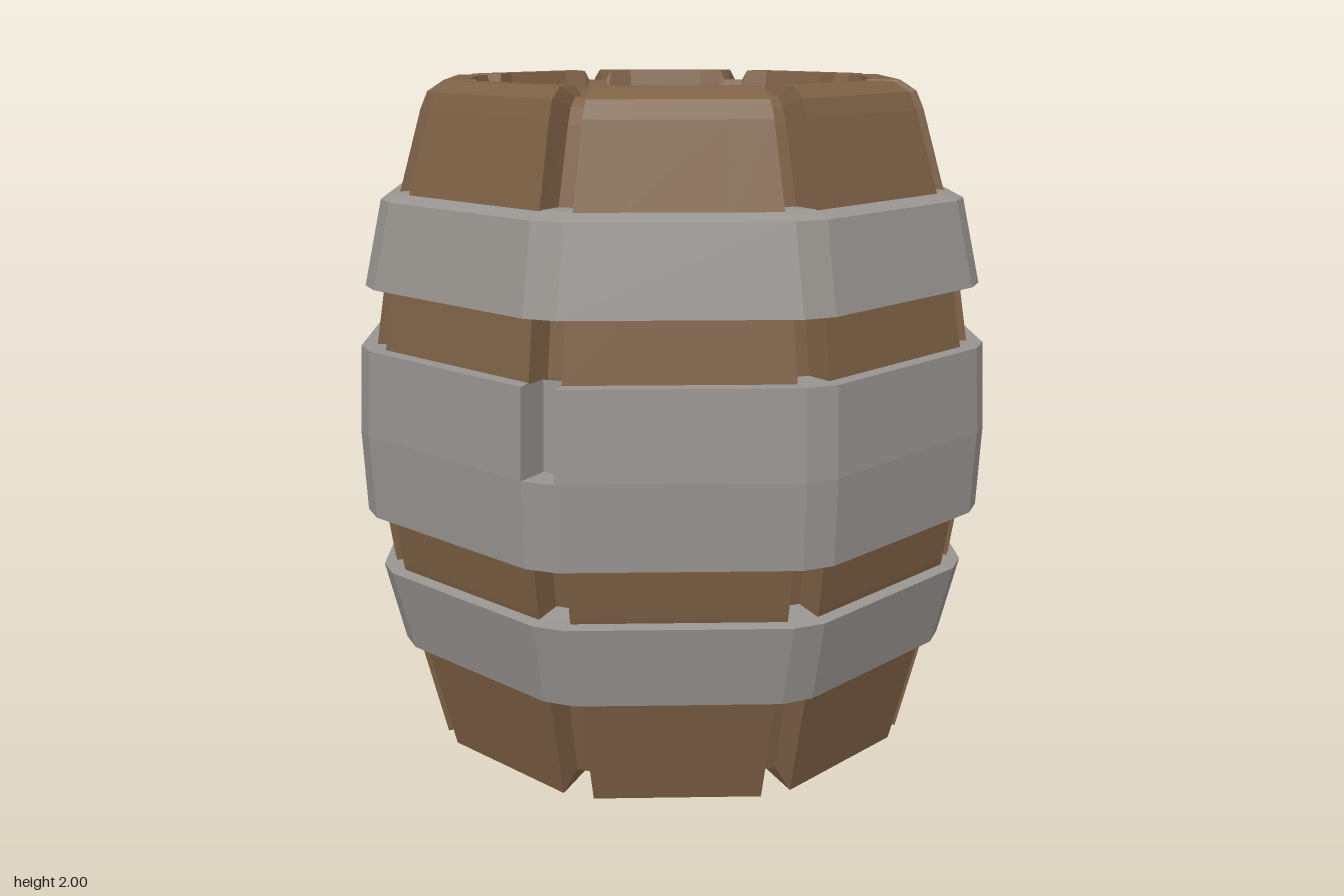
import * as THREE from 'three';

const wood = new THREE.MeshStandardMaterial({ color: 0x7d6045, flatShading: true });
wood.name = 'wood brown';
const iron = new THREE.MeshStandardMaterial({ color: 0x989490, flatShading: true });
iron.name = 'iron grey';

const SIDES = 8;
const EDGE = 0.047;  // half gap between staves at the surface
const FLOOR = 0.03;  // half width of the groove floor

// Point near octagon corner k: radius r out along it, shifted sideways by off
function at(k, r, off, y) {
  const a = (k * Math.PI * 2) / SIDES;
  return new THREE.Vector3(r * Math.sin(a) + off * Math.cos(a), y, r * Math.cos(a) - off * Math.sin(a));
}

// Surface through rows of points, listed along the outward-facing profile
function loft(rows, { closed = false, skip = () => false } = {}) {
  const pts = [];
  for (let i = 0; i < rows.length - 1; i++) {
    const n = rows[i].length;
    for (let j = 0; j < (closed ? n : n - 1); j++) {
      if (skip(i, j)) continue;
      const a = rows[i][j], b = rows[i][(j + 1) % n];
      const c = rows[i + 1][(j + 1) % n], d = rows[i + 1][j];
      for (const t of [[a, b, c], [a, c, d]]) {
        if (new THREE.Triangle(...t).getArea() > 1e-7) pts.push(...t);
      }
    }
  }
  const geo = new THREE.BufferGeometry().setFromPoints(pts);
  geo.computeVertexNormals();
  return geo;
}

// Octagonal ring with flattened corners of half width w
function ringRow(r, y, w) {
  const row = [];
  for (let k = 0; k < SIDES; k++) row.push(at(k, r, -w, y), at(k, r, w, y));
  return row;
}

// Stave profile: surface radius, height, groove radius, groove height, lid half side
const PROFILE = [
  [0.1135, 0, 0.0724, 0.05],
  [0.74, 0, 0.68, 0.05],
  [0.82, 0.32, 0.74, 0.32],
  [0.885, 0.6, 0.805, 0.6],
  [0.915, 0.8, 0.835, 0.8],
  [0.925, 1, 0.845, 1],
  [0.912, 1.25, 0.832, 1.25],
  [0.885, 1.42, 0.805, 1.42],
  [0.83, 1.68, 0.75, 1.68],
  [0.76, 1.92, 0.68, 1.9],
  [0.738, 1.97, 0.66, 1.945],
  [0.69, 2, 0.63, 1.97],
  [0.59, 2, 0.59, 1.97, 0.117],
  [0.575, 1.94, 0.575, 1.94, 0.114],
];

function staveGeometry(k) {
  return loft(PROFILE.map(([r, y, ri, yi, lid]) => {
    const left = at(k, r, EDGE, y), right = at(k + 1, r, -EDGE, y);
    // rim rows follow the sixteen-sided lid
    const m1 = lid ? at(k, r, lid, y) : left.clone().lerp(right, 0.25);
    const m2 = lid ? at(k + 1, r, -lid, y) : left.clone().lerp(right, 0.75);
    return [at(k, ri, FLOOR, yi), left, m1, m2, right, at(k + 1, ri, -FLOOR, yi)];
  }));
}

// Core: groove floors, underside and recessed lid
function coreGeometry() {
  const rows = PROFILE.map(([, , ri, yi, lid]) => ringRow(ri, yi, lid ?? FLOOR));
  rows[0] = ringRow(0, 0.05, 0);
  rows.push(ringRow(0, 1.94, 0));
  return loft(rows, { closed: true });
}

// Hoop from a profile running inner bottom, outside, inner top
function hoopGeometry(profile, skip) {
  return loft(profile.map(([r, y]) => ringRow(r, y, EDGE)), { closed: true, skip });
}

export function createModel() {
  const model = new THREE.Group();
  model.name = 'barrel';
  const add = (name, geo, mat) => {
    const mesh = new THREE.Mesh(geo, mat);
    mesh.name = name;
    model.add(mesh);
  };

  add('core', coreGeometry(), wood);
  for (let k = 0; k < SIDES; k++) add(`stave${k + 1}`, staveGeometry(k), wood);

  add('upperHoop', hoopGeometry([[0.79, 1.42], [0.94, 1.425], [0.885, 1.67], [0.82, 1.69], [0.74, 1.69]]), iron);
  add('lowerHoop', hoopGeometry([[0.73, 0.32], [0.82, 0.32], [0.86, 0.335], [0.92, 0.578], [0.87, 0.585], [0.79, 0.6]]), iron);

  // Middle hoop, open at the upper half of the front corner
  add('middleHoop', hoopGeometry(
    [[0.82, 0.755], [0.96, 0.755], [0.972, 1], [0.96, 1.25], [0.82, 1.25]],
    (i, j) => j === 0 && i >= 2), iron);

  // Notch lining: ledge, side walls and floor
  const notchRow = (r, ri, y) => [at(0, r, -EDGE, y), at(0, ri, -FLOOR, y), at(0, ri, FLOOR, y), at(0, r, EDGE, y)];
  const ledge = [-EDGE, -EDGE, EDGE, EDGE].map((w) => at(0, 0.972, w, 1));
  add('hoopNotch', loft([ledge, notchRow(0.972, 0.87, 1), notchRow(0.96, 0.86, 1.25)]), iron);

  return model;
}
